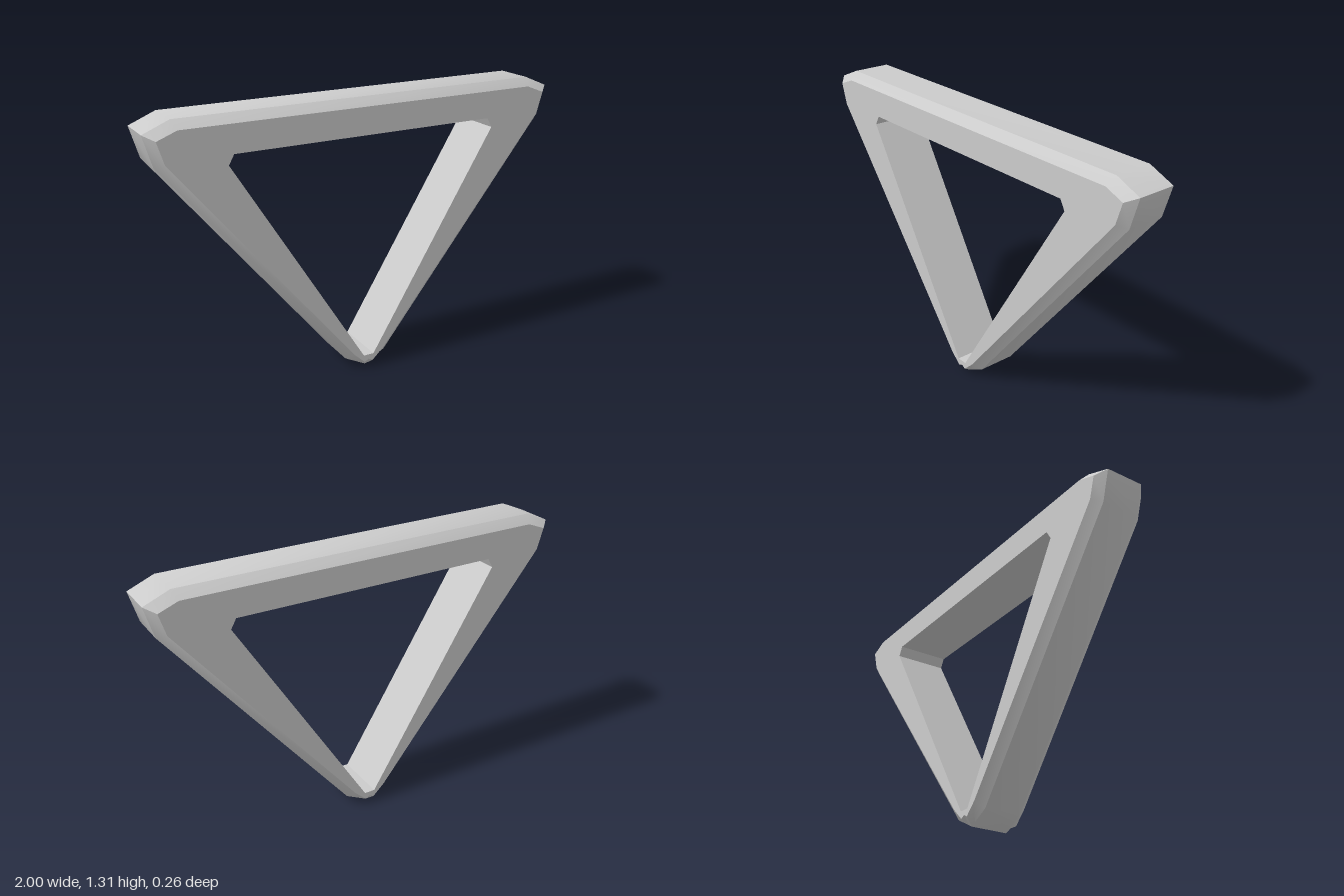
import * as THREE from 'three';
import { mergeGeometries, toCreasedNormals } from 'three/addons/utils/BufferGeometryUtils.js';

// Right half of each outline, bottom to top; mirrored into a full counter-clockwise loop
const OUTER = [[0, 0], [0.025, 0.013], [0.105, 0.055], [0.96, 1.12], [1, 1.26], [0.88, 1.31]];
const INSET = [[0, 0.045], [0.022, 0.033], [0.08, 0.088], [0.925, 1.137], [0.955, 1.237], [0.865, 1.272]];
const HOLE = [[0.026, 0.068], [0.66, 1.1], [0.635, 1.145]];
const HALF_WALL = 0.09;
const HALF_DEPTH = 0.13;

function mirrored(half) {
  const left = half.filter(([x]) => x > 0).map(([x, y]) => [-x, y]).reverse();
  return [...half, ...left].map(([x, y]) => new THREE.Vector2(x, y));
}

// Quad strip joining two closed loops, each at its own depth
function band(loopA, zA, loopB, zB) {
  const positions = [];
  const n = loopA.length;
  for (let i = 0; i < n; i++) {
    const j = (i + 1) % n;
    const a = [loopA[i].x, loopA[i].y, zA], b = [loopA[j].x, loopA[j].y, zA];
    const c = [loopB[j].x, loopB[j].y, zB], d = [loopB[i].x, loopB[i].y, zB];
    positions.push(...a, ...b, ...c, ...a, ...c, ...d);
  }
  const geometry = new THREE.BufferGeometry();
  geometry.setAttribute('position', new THREE.Float32BufferAttribute(positions, 3));
  geometry.computeVertexNormals();
  return geometry;
}

// Flat face with the triangular opening
function face(outline, hole, z) {
  const shape = new THREE.Shape(outline);
  shape.holes.push(new THREE.Path(hole));
  const geometry = new THREE.ShapeGeometry(shape).toNonIndexed();
  geometry.deleteAttribute('uv');
  if (z < 0) geometry.rotateY(Math.PI);
  return geometry.translate(0, 0, z);
}

export function createModel() {
  const outer = mirrored(OUTER), inset = mirrored(INSET), hole = mirrored(HOLE);
  const geometry = mergeGeometries([
    face(inset, hole, HALF_DEPTH),
    face(inset, hole, -HALF_DEPTH),
    band(outer, HALF_WALL, inset, HALF_DEPTH),   // front bevel
    band(outer, -HALF_WALL, outer, HALF_WALL),   // outer wall
    band(inset, -HALF_DEPTH, outer, -HALF_WALL), // back bevel
    band(hole, HALF_DEPTH, hole, -HALF_DEPTH),   // opening wall
  ]);

  const frame = new THREE.Mesh(
    toCreasedNormals(geometry, THREE.MathUtils.degToRad(30)),
    new THREE.MeshStandardMaterial({ color: 0xcccccc }),
  );
  frame.name = 'triangularFrame';

  const model = new THREE.Group();
  model.name = 'triangularLink';
  model.add(frame);
  return model;
}
